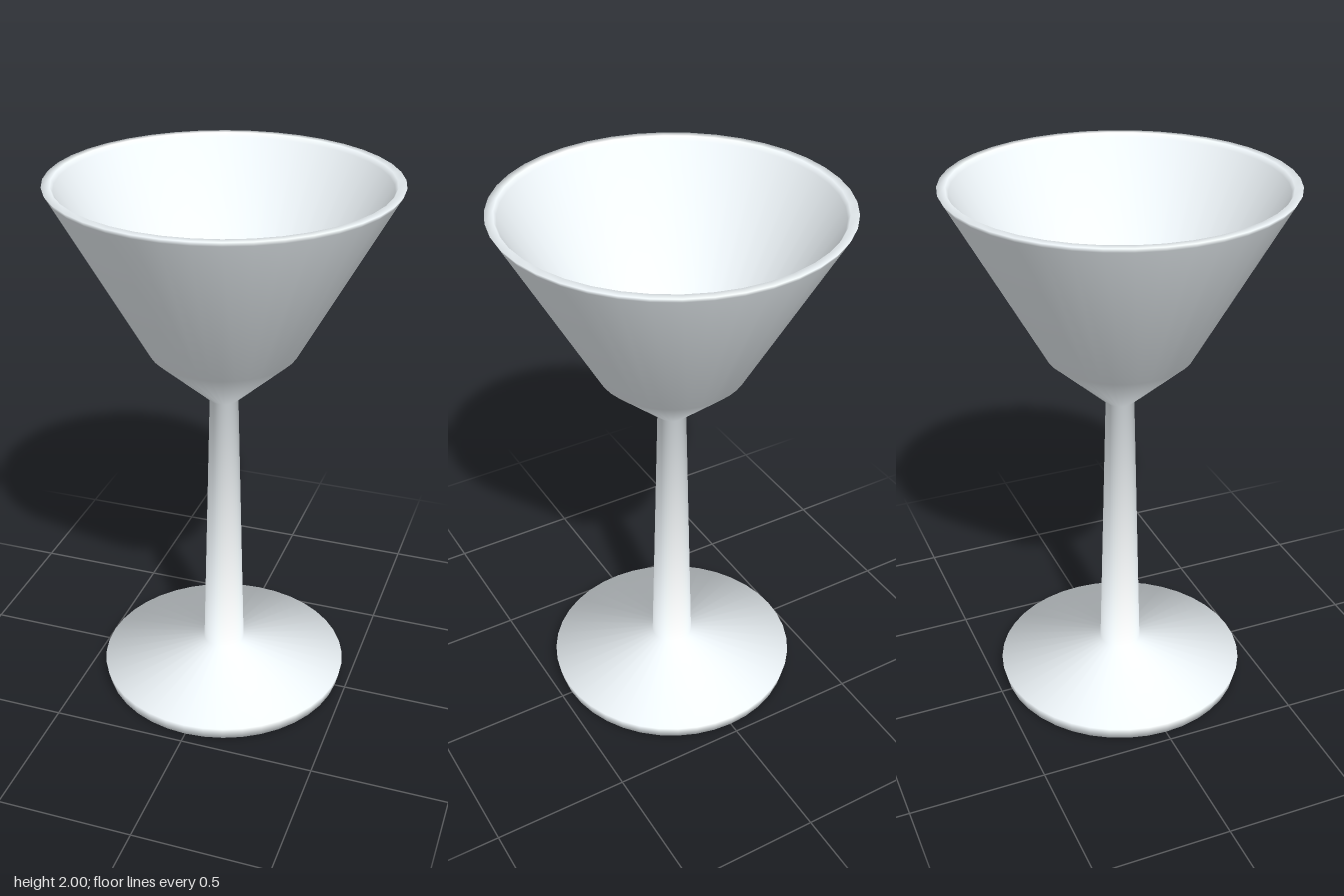
import * as THREE from 'three';

const SIDES = 40;

// Turns a profile into a body whose normals blend evenly across every edge
function turn(points) {
  const geometry = new THREE.LatheGeometry(points, SIDES);
  const last = points.length - 1;
  const facing = (a, b) => new THREE.Vector2(b.y - a.y, a.x - b.x).normalize();
  const normals = points.map((p, j) => {
    const n = new THREE.Vector2();
    if (j > 0) n.add(facing(points[j - 1], p));
    if (j < last) n.add(facing(p, points[j + 1]));
    if (p.x === 0) n.x = 0; // straight up or down on the axis
    return n.normalize();
  });
  for (let i = 0; i <= SIDES; i++) {
    const a = (i / SIDES) * Math.PI * 2;
    normals.forEach((n, j) => {
      geometry.attributes.normal.setXYZ(i * points.length + j, n.x * Math.sin(a), n.y, n.x * Math.cos(a));
    });
  }
  return geometry;
}

export function createModel() {
  const group = new THREE.Group();
  group.name = 'stemGlass';

  // Closed profile [radius, height], from the centre of the underside to the bottom of the bowl
  const profile = [
    [0, 0], [0.46, 0.003], [0.472, 0.053],       // foot
    [0.078, 0.133], [0.052, 1.19],               // stem
    [0.265, 1.385], [0.595, 1.984],              // bowl outside
    [0.604, 2], [0.575, 2], [0.566, 1.984],      // rim
    [0.225, 1.39], [0, 1.215],                   // bowl inside
  ].map(([r, y]) => new THREE.Vector2(r, y));

  // One smooth turned body in pale bluish white
  const material = new THREE.MeshStandardMaterial({ color: 0xf4fbff });
  const glass = new THREE.Mesh(turn(profile), material);
  glass.name = 'footStemAndBowl';
  group.add(glass);

  return group;
}
